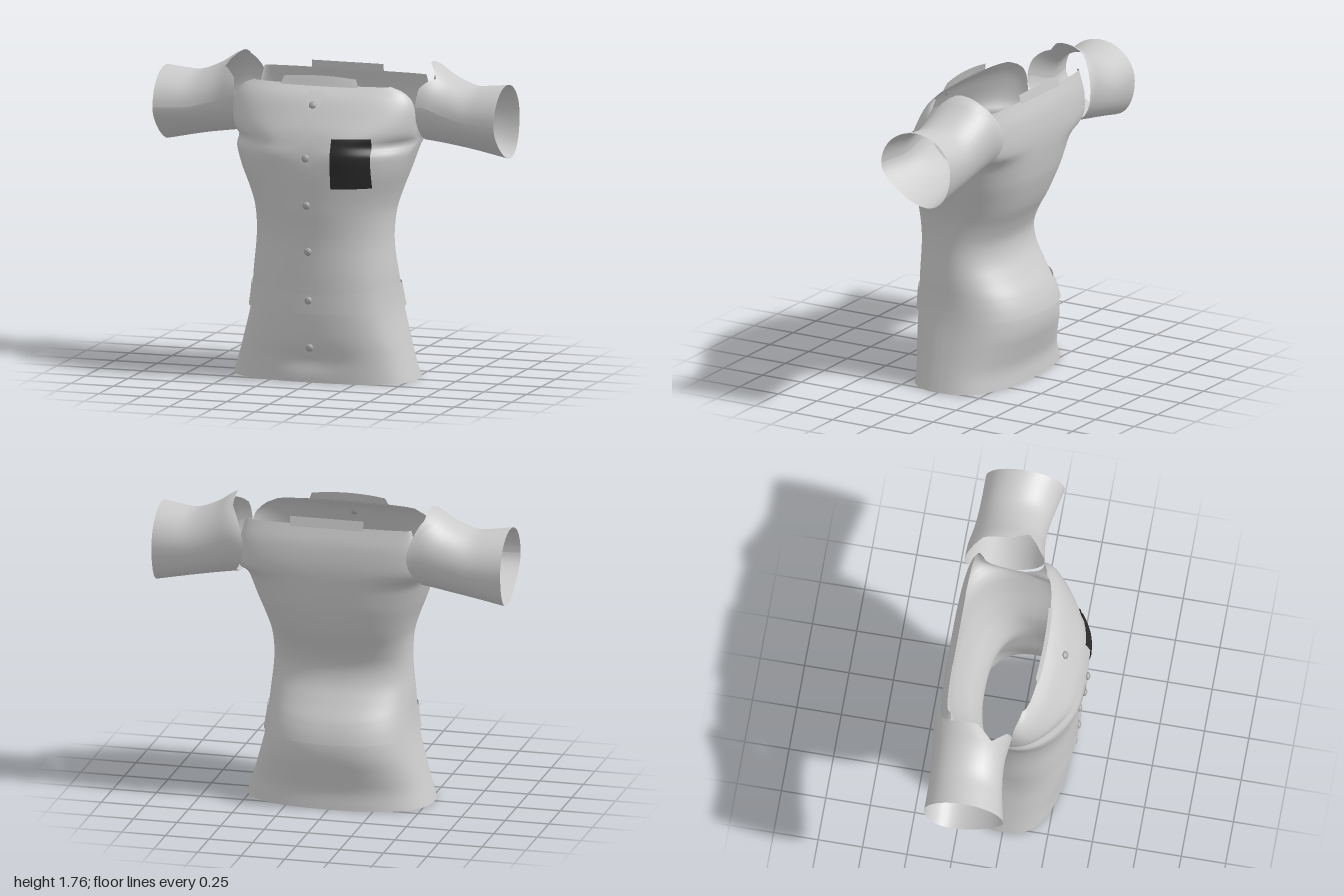
import * as THREE from 'three';

const fabric = new THREE.MeshStandardMaterial({ color: 0xcacaca, side: THREE.DoubleSide });
fabric.name = 'light grey fabric';
const pocketCloth = new THREE.MeshStandardMaterial({ color: 0x2a2a2a, side: THREE.DoubleSide });
pocketCloth.name = 'black pocket cloth';
const buttonGrey = new THREE.MeshStandardMaterial({ color: 0xa8a8a8 });
buttonGrey.name = 'button grey';

// Smooth interpolation through [position, value] pairs
function curve(pts) {
  const slope = (i) => {
    const a = pts[Math.max(i - 1, 0)], b = pts[Math.min(i + 1, pts.length - 1)];
    return (b[1] - a[1]) / (b[0] - a[0]);
  };
  return (y) => {
    let i = 0;
    while (i < pts.length - 2 && y > pts[i + 1][0]) i++;
    const [y0, v0] = pts[i], [y1, v1] = pts[i + 1], h = y1 - y0;
    const t = THREE.MathUtils.clamp((y - y0) / h, 0, 1), u = 1 - t;
    return v0 * u * u * (1 + 2 * t) + v1 * t * t * (3 - 2 * t)
      + h * t * u * (slope(i) * u - slope(i + 1) * t);
  };
}

// Torso outline by height
const sides = [[0, 0.53], [0.2, 0.47], [0.4, 0.42], [0.6, 0.405], [0.8, 0.39], [0.95, 0.398], [1.05, 0.425],
  [1.2, 0.48], [1.35, 0.52]];
const frontWidth = curve([...sides, [1.5, 0.53], [1.58, 0.51], [1.63, 0.46], [1.655, 0.4]]);
const backWidth = curve([...sides, [1.5, 0.515], [1.6, 0.49], [1.66, 0.475]]);
const frontZ = curve([[0, 0.29], [0.12, 0.298], [0.25, 0.315], [0.4, 0.325], [0.6, 0.33], [0.8, 0.335], [1, 0.36],
  [1.25, 0.38], [1.4, 0.345], [1.5, 0.29], [1.6, 0.22], [1.655, 0.15]]);
const backZ = curve([[0, -0.31], [0.1, -0.305], [0.2, -0.33], [0.3, -0.356], [0.4, -0.356], [0.5, -0.325], [0.6, -0.26],
  [0.7, -0.205], [0.8, -0.193], [0.9, -0.23], [1, -0.285], [1.1, -0.325], [1.2, -0.355], [1.4, -0.385], [1.55, -0.375],
  [1.66, -0.34]]);
// Depth of the side edge of each half; they part at the armhole
const frontSide = curve([[0, 0], [0.5, 0.03], [1, 0.03], [1.29, 0.03], [1.34, -0.07], [1.38, 0.01], [1.45, 0.045],
  [1.6, 0.06], [1.655, 0.09]]);
const backSide = curve([[0, 0], [0.5, 0.03], [1, 0.03], [1.29, 0.03], [1.34, -0.07], [1.38, -0.24], [1.5, -0.29],
  [1.66, -0.3]]);
// Squareness of each half
const frontPower = curve([[0, 2.55], [0.4, 2.4], [0.8, 2.08], [1.2, 2.1], [1.66, 2.0]]);
const backPower = curve([[0, 2.45], [0.4, 2.5], [0.8, 2.3], [1.2, 2.75], [1.66, 3.4]]);

// Point on the shirt; angle 0..PI is the front half, PI..2PI the back
function torsoPoint(angle, y, off, front) {
  const n = front ? frontPower(y) : backPower(y);
  const c = Math.cos(angle), s = Math.abs(Math.sin(angle));
  const w = (front ? frontWidth(y) : backWidth(y)) + off;
  const side = front ? frontSide(y) : backSide(y);
  const depth = (front ? frontZ(y) + off : backZ(y) - off) - side;
  const x = w * Math.sign(c) * Math.pow(Math.abs(c), 2 / n);
  let z = side + depth * Math.pow(s, 2 / n);
  if (front) {
    // chest swell and the small hollow low on the belly
    z += 0.02 * s * Math.exp(-(((Math.abs(x) - 0.24) / 0.13) ** 2) - ((y - 1.31) / 0.09) ** 2);
    z -= 0.02 * Math.exp(-((x / 0.17) ** 2) - ((y - 0.12) / 0.06) ** 2);
  }
  return [x, y, z];
}

// Depth of the front cloth at a given x and y
function frontAt(x, y, off) {
  const c = Math.pow(Math.min(Math.abs(x) / frontWidth(y), 1), frontPower(y) / 2);
  return torsoPoint(Math.acos(Math.sign(x) * c), y, 0, true)[2] + off;
}

// Grid surface; u runs anticlockwise seen from outside, v upwards
function sheet(name, nu, nv, point, material = fabric, flip = false) {
  const pos = [], index = [];
  for (let j = 0; j <= nv; j++) for (let i = 0; i <= nu; i++) pos.push(...point(i / nu, j / nv));
  for (let j = 0; j < nv; j++) for (let i = 0; i < nu; i++) {
    const a = j * (nu + 1) + i, b = a + 1, c = a + nu + 1, d = c + 1;
    if (flip) index.push(a, b, c, b, d, c);
    else index.push(a, c, b, b, c, d);
  }
  const g = new THREE.BufferGeometry();
  g.setAttribute('position', new THREE.Float32BufferAttribute(pos, 3));
  g.setIndex(index);
  g.computeVertexNormals();
  const mesh = new THREE.Mesh(g, material);
  mesh.name = name;
  return mesh;
}

// Patch lying on the front cloth
const patch = (name, x0, x1, y0, y1, off, material) => sheet(name, 8, 30, (u, v) => {
  const x = x0 + (x1 - x0) * u, y = y0 + (y1 - y0) * v;
  return [x, y, frontAt(x, y, off)];
}, material, true);

// Sleeve outline by distance from the middle
const sleeveTop = curve([[0.46, 1.72], [0.55, 1.765], [0.67, 1.695], [0.8, 1.643], [0.9, 1.648], [1, 1.66]]);
const sleeveBottom = curve([[0.46, 1.33], [0.55, 1.32], [0.66, 1.305], [0.8, 1.285], [1, 1.25]]);
const sleeveFront = curve([[0.46, 0.06], [0.55, 0.05], [0.66, 0.035], [0.8, 0.045], [1, 0.085]]);
const sleeveBack = curve([[0.46, -0.39], [0.55, -0.385], [0.66, -0.37], [0.8, -0.362], [1, -0.36]]);

function sleeve(side) {
  return sheet(side > 0 ? 'leftSleeve' : 'rightSleeve', 40, 14, (u, v) => {
    const a = u * Math.PI * 2, c = Math.cos(a), s = Math.sin(a);
    // the armhole edge starts further in at the back and flares open at the front of the shoulder
    const flare = Math.max(0, 1 - Math.abs(a - 0.95) / 0.5);
    const start = 0.528 + 0.026 * Math.max(s, 0) - 0.15 * Math.max(-c - 0.6, 0) + 0.07 * flare;
    const x = start + (1 - start) * v;
    const top = sleeveTop(x), bottom = sleeveBottom(x), zf = sleeveFront(x), zb = sleeveBack(x);
    const dz = c * (zf - zb) / 2;
    // the underside hangs lower towards the back, more so at the hem
    const y = (top + bottom) / 2 + s * (top - bottom) / 2 + (0.1 + 0.25 * v) * dz * Math.max(-s, 0);
    return [side * x, y, (zf + zb) / 2 + dz];
  }, fabric, side < 0);
}

export function createModel() {
  const shirt = new THREE.Group();
  shirt.name = 'shirt';

  // Body halves
  shirt.add(sheet('frontPanel', 48, 80, (u, v) => torsoPoint(u * Math.PI, 1.655 * v, 0, true)));
  shirt.add(sheet('backPanel', 48, 80, (u, v) => torsoPoint(Math.PI * (1 + u), 1.66 * v, 0, false)));

  // Waistband, slightly proud of the body and higher at the sides
  for (const front of [true, false]) {
    shirt.add(sheet(front ? 'frontWaistband' : 'backWaistband', 48, 4, (u, v) => {
      const a = Math.PI * (front ? u : 1 + u);
      const top = 0.5 + 0.03 * Math.abs(Math.cos(a));
      return torsoPoint(a, 0.395 + (top - 0.395) * v, 0.012 - 0.004 * v, front);
    }));
  }

  // Stand-up collar pieces
  shirt.add(sheet('frontCollar', 12, 2, (u, v) => {
    const x = (u - 0.5) * (0.46 - 0.04 * v);
    return [x, 1.645 + 0.06 * v - 0.3 * x * x * v, frontAt(x, 1.65, 0.004 - 0.02 * v)];
  }, fabric, true));
  shirt.add(sheet('backCollar', 12, 2, (u, v) =>
    [(0.5 - u) * 0.42, 1.645 + 0.055 * v, -0.345 + 0.01 * v], fabric, true));

  // Button strip and chest pocket
  shirt.add(patch('placket', -0.04, 0.04, 0.13, 1.63, 0.005, fabric));
  shirt.add(patch('chestPocket', 0.14, 0.35, 1.11, 1.39, 0.008, pocketCloth));

  // Buttons
  const buttonShape = new THREE.SphereGeometry(0.022, 16, 12);
  for (const y of [0.2, 0.47, 0.745, 1.01, 1.28, 1.56]) {
    const button = new THREE.Mesh(buttonShape, buttonGrey);
    button.name = 'button';
    button.scale.z = 0.6;
    button.position.set(0, y, frontAt(0, y, 0.01));
    button.rotation.x = Math.atan2(frontZ(y + 0.02) - frontZ(y - 0.02), 0.04);
    shirt.add(button);
  }

  // Sleeves
  shirt.add(sleeve(1), sleeve(-1));
  return shirt;
}
